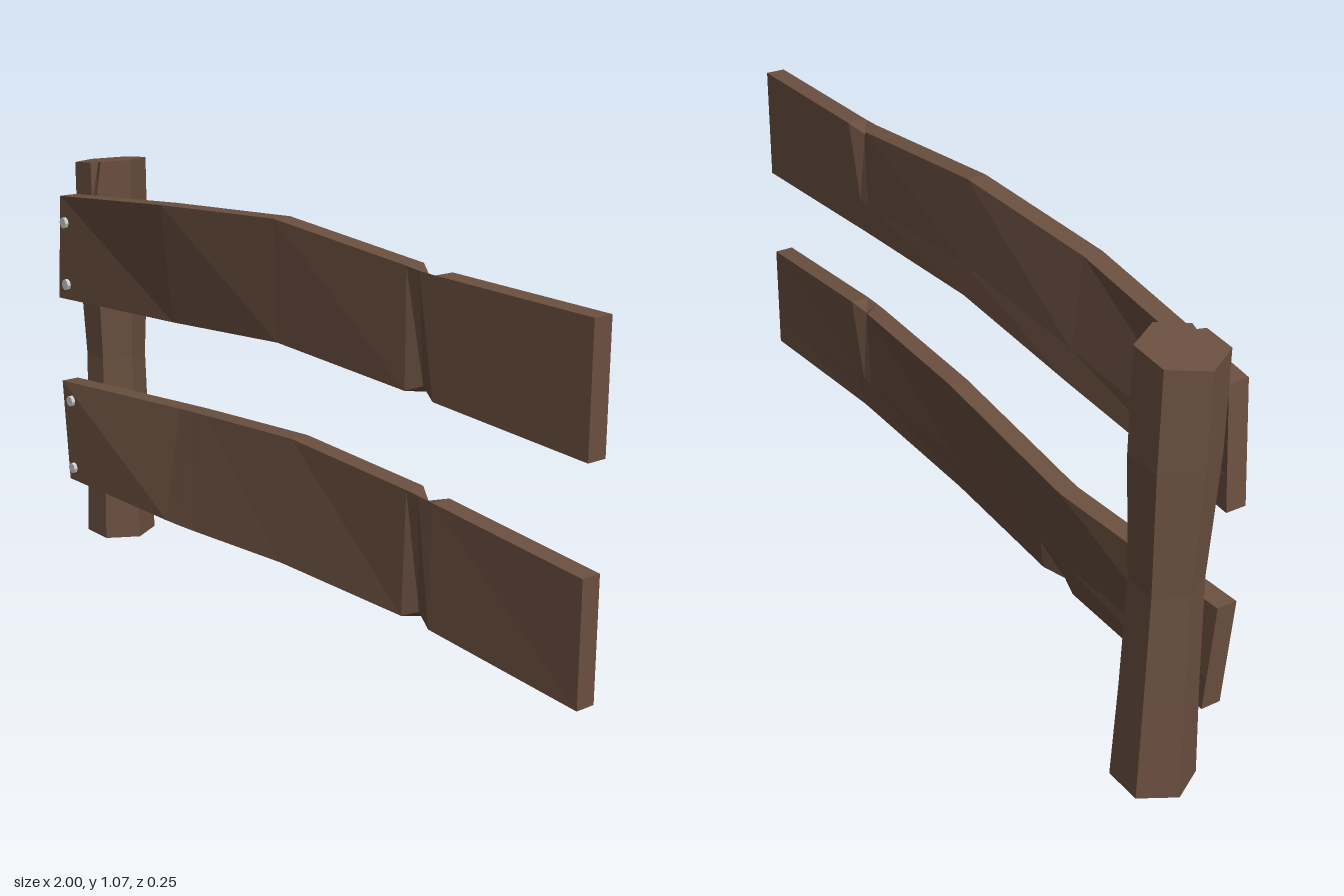
import * as THREE from 'three';

const wood = new THREE.MeshStandardMaterial({ color: 0x6b5040, flatShading: true });
const metal = new THREE.MeshStandardMaterial({ color: 0xcccccc, flatShading: true });

// Skin a list of equal-length rings of Vector3 (counter-clockwise about the travel direction) and cap both ends.
function loft(rings) {
  const pos = [];
  const tri = (a, b, c) => { for (const p of [a, b, c]) pos.push(p.x, p.y, p.z); };
  const n = rings[0].length;
  for (let r = 0; r + 1 < rings.length; r++) {
    for (let i = 0; i < n; i++) {
      const j = (i + 1) % n, a = rings[r], b = rings[r + 1];
      tri(a[i], a[j], b[j]);
      tri(a[i], b[j], b[i]);
    }
  }
  const cap = (ring, flip) => {
    const c = new THREE.Vector3();
    ring.forEach((p) => c.addScaledVector(p, 1 / n));
    for (let i = 0; i < n; i++) {
      const p = ring[i], q = ring[(i + 1) % n];
      if (flip) tri(c, q, p); else tri(c, p, q);
    }
  };
  cap(rings[0], true);
  cap(rings[rings.length - 1], false);
  const geo = new THREE.BufferGeometry();
  geo.setAttribute('position', new THREE.Float32BufferAttribute(pos, 3));
  geo.computeVertexNormals();
  return geo;
}

// Hexagonal post with a slim waist, a slanted top and a split running down one front corner
function postRing(y, r, split = 0, slant = 0) {
  const cx = -0.905, cz = -0.043;
  const points = [[30 - 10, 0.955], [30, 1 - split], [30 + 10, 0.955], [90, 1], [150, 1], [210, 1], [270, 1], [330, 1]];
  return points.map(([deg, k]) => {
    const t = THREE.MathUtils.degToRad(deg);
    // without a split the two side points lie on the hexagon's flats
    const flat = k < 1 && k === 0.955 ? Math.cos(Math.PI / 6) / Math.cos(Math.PI / 9) : k;
    const x = cx + Math.sin(t) * r * flat;
    return new THREE.Vector3(x, y + slant * (x - cx), cz + Math.cos(t) * r * flat);
  });
}

// Rail station: x at top and bottom, heights, front-face z at top and bottom, and chipped corners
function railRing({ xT, xB = xT, yT, yB, zT = 0.095, zB = 0.095, edgeChip = 0, backChip = 0 }) {
  const d = 0.05, h = 0.08;
  const k = h / (yT - yB);
  const V = (x, y, z) => new THREE.Vector3(x, y, z);
  return [
    V(xB, yB, zB - d + backChip),
    V(xB + (xT - xB) * k, yB + h, zB + (zT - zB) * k - d),
    V(xT, yT - edgeChip, zT - d + edgeChip),
    V(xT, yT, zT),
    V(xB, yB + edgeChip, zB - edgeChip),
  ];
}

function mesh(name, geometry, material) {
  const m = new THREE.Mesh(geometry, material);
  m.name = name;
  return m;
}

export function createModel() {
  const group = new THREE.Group();
  group.name = 'fenceSection';

  group.add(mesh('post', loft([
    postRing(0, 0.095),
    postRing(0.25, 0.086),
    postRing(0.52, 0.08),
    postRing(0.82, 0.095),
    postRing(0.95, 0.095),
    postRing(1.06, 0.095, 0.25, 0.1),
  ]), wood));

  // Upper rail bows forward along its top edge
  group.add(mesh('upperRail', loft([
    { xT: -0.945, xB: -0.97, yT: 0.97, yB: 0.685 },
    { xT: -0.42, yT: 1.02, yB: 0.718, zT: 0.125 },
    { xT: 0.01, yT: 1.045, yB: 0.75, zT: 0.105 },
    { xT: 0.46, yT: 1.007, yB: 0.731 },
    { xT: 0.5, yT: 1.003, yB: 0.729, edgeChip: 0.018 },
    { xT: 0.55, yT: 1.001, yB: 0.726 },
    { xT: 1, yT: 0.994, yB: 0.702 },
  ].map(railRing)), wood));

  // Lower rail leans back along its top edge
  group.add(mesh('lowerRail', loft([
    { xT: -0.97, xB: -0.947, yT: 0.448, yB: 0.167 },
    { xT: -0.47, yT: 0.471, yB: 0.174, zT: 0.047 },
    { xT: -0.41, yT: 0.476, yB: 0.176, zT: 0.048, backChip: 0.02 },
    { xT: -0.35, yT: 0.481, yB: 0.179, zT: 0.05 },
    { xT: 0.02, yT: 0.51, yB: 0.202, zT: 0.062 },
    { xT: 0.46, yT: 0.502, yB: 0.206, zT: 0.085 },
    { xT: 0.5, yT: 0.5, yB: 0.206, zT: 0.087, edgeChip: 0.018 },
    { xT: 0.55, yT: 0.497, yB: 0.203, zT: 0.089 },
    { xT: 1, yT: 0.46, yB: 0.172 },
  ].map(railRing)), wood));

  // Bolts fixing the rails to the post
  const boltGeo = new THREE.CylinderGeometry(0.015, 0.015, 0.035, 8).rotateX(Math.PI / 2);
  for (const y of [0.9, 0.73, 0.4, 0.205]) {
    const bolt = mesh('bolt', boltGeo, metal);
    bolt.position.set(-0.922, y, 0.0875);
    group.add(bolt);
  }
  return group;
}
